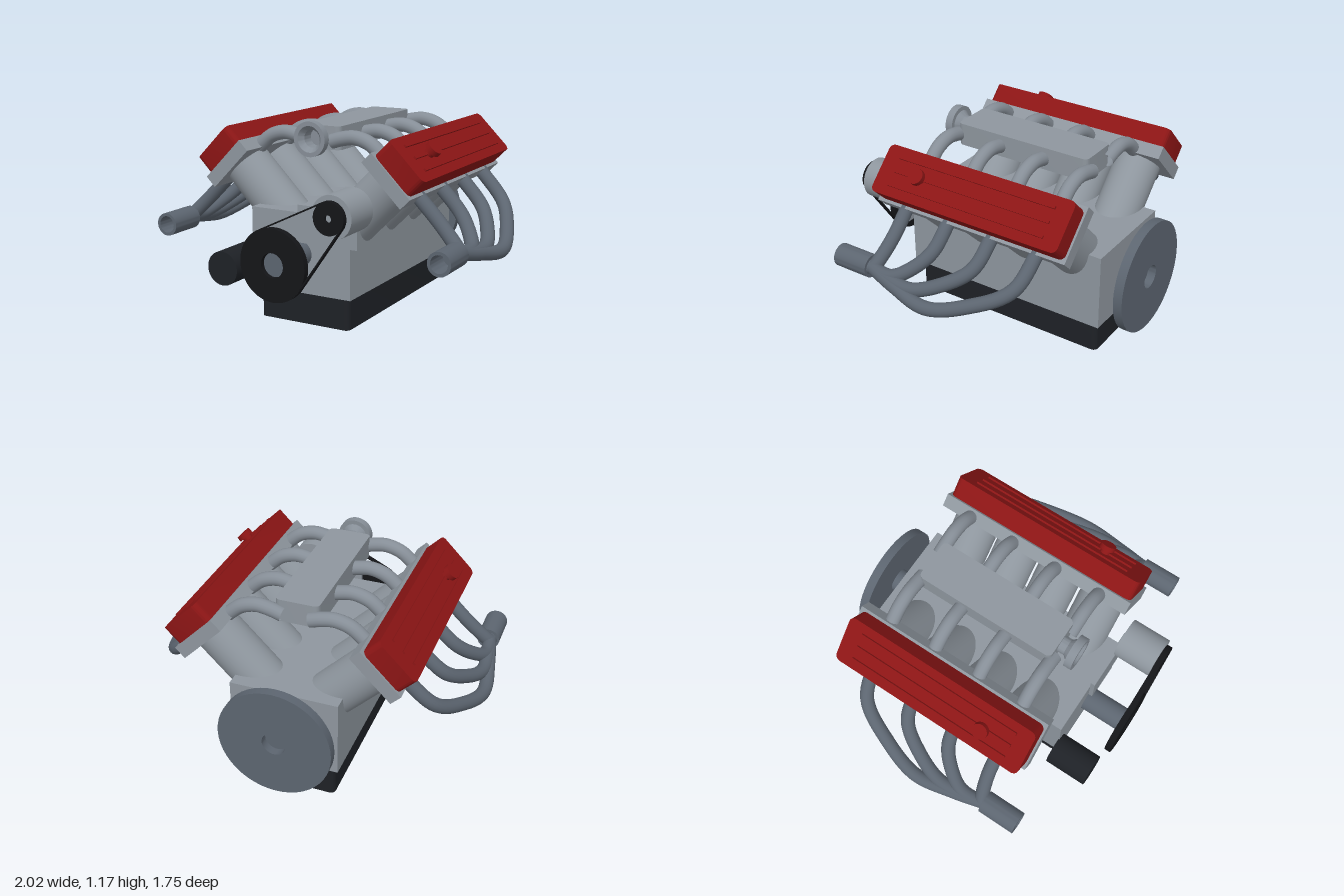
import * as THREE from 'three';
import { toCreasedNormals } from 'three/addons/utils/BufferGeometryUtils.js';

const mat = (color, side = THREE.FrontSide) => new THREE.MeshStandardMaterial({ color, side });
const alloy = mat(0x8e969e);
const steel = mat(0x5c6570, THREE.DoubleSide);
const pipe = mat(0x868e97, THREE.DoubleSide);
const black = mat(0x1e2126);
const rubber = mat(0x141518, THREE.DoubleSide);
const red = mat(0x8c1515);

const CRANK_Y = 0.44;
const CYLINDER_Z = [-0.515, -0.22, 0.075, 0.37];
const MID_Z = -0.075;

function add(parent, name, geometry, material, x = 0, y = 0, z = 0) {
  const mesh = new THREE.Mesh(geometry, material);
  mesh.name = name;
  mesh.position.set(x, y, z);
  parent.add(mesh);
  return mesh;
}

// Box with rounded vertical edges, standing on y = 0
function roundedSlab(w, h, d, r) {
  const x = w / 2, y = d / 2, s = new THREE.Shape();
  s.absarc(x - r, y - r, r, 0, Math.PI / 2);
  s.absarc(r - x, y - r, r, Math.PI / 2, Math.PI);
  s.absarc(r - x, r - y, r, Math.PI, Math.PI * 1.5);
  s.absarc(x - r, r - y, r, Math.PI * 1.5, Math.PI * 2);
  const g = new THREE.ExtrudeGeometry(s, { depth: h, bevelEnabled: false, curveSegments: 6 });
  return toCreasedNormals(g.rotateX(-Math.PI / 2), 0.6);
}

// Solid cylinder along z, from z0 to z1
function rod(r, z0, z1) {
  return new THREE.CylinderGeometry(r, r, z1 - z0, 48).rotateX(Math.PI / 2).translate(0, 0, (z0 + z1) / 2);
}

// Turned part along z, from [radius, z] pairs
function turned(profile) {
  const g = new THREE.LatheGeometry(profile.map(([r, z]) => new THREE.Vector2(r, z)), 48);
  return toCreasedNormals(g.rotateX(Math.PI / 2), 0.6);
}

function ring(inner, outer, z0, z1) {
  return turned([[inner, z0], [outer, z0], [outer, z1], [inner, z1], [inner, z0]]);
}

function tube(points, r) {
  const curve = new THREE.CatmullRomCurve3(points.map(p => new THREE.Vector3(...p)));
  return new THREE.TubeGeometry(curve, 40, r, 16);
}

// One tilted bank: barrels, head, ribbed cover and filler cap
function createBank(side) {
  const bank = new THREE.Group();
  bank.name = side > 0 ? 'leftBank' : 'rightBank';
  bank.position.y = 0.382;
  bank.rotation.z = -side * Math.PI / 4;
  for (const z of CYLINDER_Z) {
    add(bank, 'cylinderBarrel', new THREE.CylinderGeometry(0.138, 0.138, 0.65, 40), alloy, 0, 0.37, z);
  }
  add(bank, 'cylinderHead', new THREE.BoxGeometry(0.33, 0.08, 1.255), alloy, 0, 0.728, MID_Z);
  add(bank, 'valveCover', roundedSlab(0.294, 0.122, 1.23, 0.035), red, 0, 0.767, MID_Z);
  for (const x of [-0.083, 0, 0.083]) {
    add(bank, 'coverRib', new THREE.BoxGeometry(0.016, 0.016, 1.03), red, x, 0.892, MID_Z);
  }
  add(bank, 'fillerNeck', new THREE.CylinderGeometry(0.03, 0.03, 0.04, 24), red, 0, 0.905, 0.26);
  add(bank, 'fillerCap', new THREE.CylinderGeometry(0.047, 0.047, 0.03, 24), red, 0, 0.93, 0.26);
  return bank;
}

// Exhaust pipes lie in a plane sloping down at 45 degrees and meet in a collector
function createExhaust(side) {
  const exhaust = new THREE.Group();
  exhaust.name = side > 0 ? 'leftExhaust' : 'rightExhaust';
  const drops = [0.33, 0.285, 0.262, 0.25];
  CYLINDER_Z.forEach((z, i) => {
    const run = 0.45 - z, t = drops[i];
    const path = [[0, -0.04], [0.05, 0.45 * t], [0.27, 0.8 * t], [0.52, t], [0.78, 0.45 * t + 0.1375 + 0.01], [1, 0.25]];
    const points = path.map(([f, drop]) => [side * (0.636 + drop), 0.778 - drop, z + f * run]);
    add(exhaust, 'exhaustPipe', tube(points, 0.041), steel);
  });
  add(exhaust, 'collector', turned([[0, 0.43], [0.068, 0.43], [0.068, 0.66], [0.05, 0.66], [0.05, 0.5], [0, 0.5]]),
    steel, side * 0.882, 0.517);
  return exhaust;
}

function createIntake() {
  const intake = new THREE.Group();
  intake.name = 'intake';
  add(intake, 'plenum', roundedSlab(0.256, 0.135, 0.875, 0.03), alloy, 0, 1.0, MID_Z);
  for (const side of [-1, 1]) {
    for (const z of CYLINDER_Z) {
      const path = [[0.08, 1.05], [0.15, 1.07], [0.23, 1.08], [0.32, 1.055], [0.39, 1.0], [0.43, 0.96]];
      add(intake, 'intakeRunner', tube(path.map(([x, y]) => [side * x, y, z - 0.004]), 0.042), pipe);
    }
  }
  // Throttle neck opening into a flanged mouth
  add(intake, 'throttleBody', turned([[0.05, 0.35], [0.05, 0.405], [0.075, 0.435], [0.1, 0.435], [0.1, 0.482],
    [0.075, 0.482], [0.05, 0.45], [0.05, 0.38], [0, 0.38]]), pipe, 0, 1.07);
  return intake;
}

// Belt loop tangent to both pulleys
function createBelt(x, y, r1, r2) {
  const dx = x, dy = y - CRANK_Y;
  const angle = Math.atan2(dy, dx), length = Math.hypot(dx, dy);
  const trace = (path, grow) => {
    const b = Math.acos((r1 - r2) / length);
    path.absarc(0, CRANK_Y, r1 + grow, angle + b, angle - b + Math.PI * 2);
    path.absarc(x, y, r2 + grow, angle - b, angle + b);
    path.closePath();
    return path;
  };
  const shape = trace(new THREE.Shape(), 0.003);
  shape.holes.push(trace(new THREE.Path(), -0.005));
  const g = new THREE.ExtrudeGeometry(shape, { depth: 0.032, bevelEnabled: false, curveSegments: 32 });
  return toCreasedNormals(g, 0.6);
}

export function createModel() {
  const engine = new THREE.Group();
  engine.name = 'engine';

  // Block and oil pan
  add(engine, 'engineBlock', new THREE.BoxGeometry(0.64, 0.465, 1.315), alloy, 0, 0.4425, -0.0725);
  add(engine, 'oilPan', roundedSlab(0.58, 0.19, 1.255, 0.03), black, 0, 0.02, MID_Z);
  add(engine, 'drainPlug', new THREE.CylinderGeometry(0.034, 0.034, 0.03, 24), black, 0.175, 0.015, 0.37);

  for (const side of [-1, 1]) engine.add(createBank(side), createExhaust(side));
  engine.add(createIntake());

  // Crankshaft with flywheel and front pulley
  add(engine, 'crankshaft', rod(0.073, -0.83, 0.845), steel, 0, CRANK_Y);
  add(engine, 'flywheel', ring(0.07, 0.336, -0.88, -0.825), steel, 0, CRANK_Y);
  add(engine, 'crankPulley', ring(0.07, 0.205, 0.835, 0.873), rubber, 0, CRANK_Y);

  // Alternator, its bracket and the drive belt
  const ax = 0.347, ay = 0.737;
  add(engine, 'alternatorBracket', new THREE.BoxGeometry(0.375, 0.215, 0.027), alloy, 0.1875, 0.6175, 0.5965);
  add(engine, 'alternator', rod(0.121, 0.6, 0.835), alloy, ax, ay);
  add(engine, 'alternatorPulley', ring(0.02, 0.09, 0.83, 0.87), rubber, ax, ay);
  add(engine, 'alternatorShaft', rod(0.021, 0.82, 0.855), alloy, ax, ay);
  add(engine, 'driveBelt', createBelt(ax, ay, 0.205, 0.09), rubber, 0, 0, 0.838);

  // Oil filter
  add(engine, 'oilFilter', rod(0.098, 0.58, 0.84), black, -0.352, 0.366);
  return engine;
}
